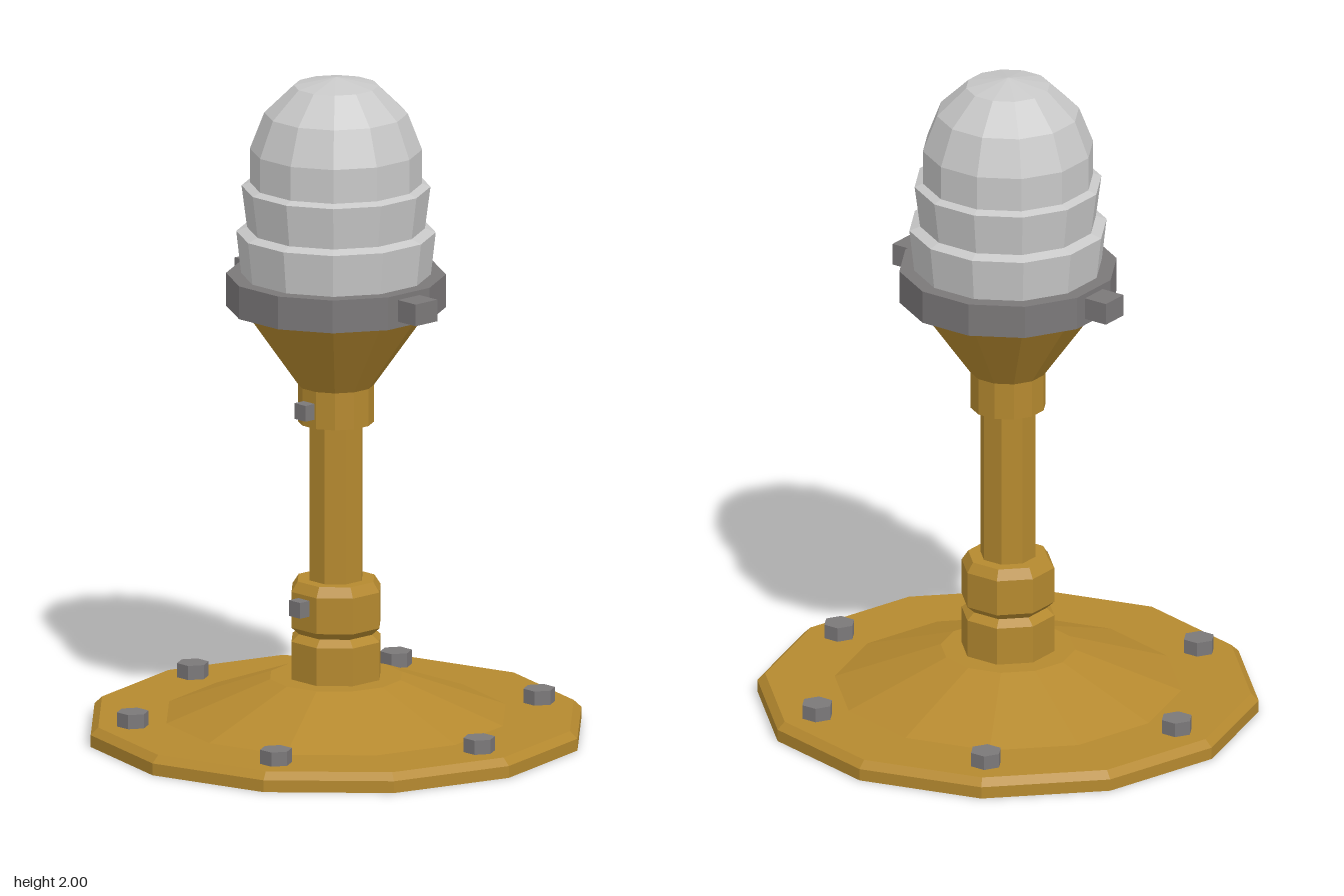
import * as THREE from 'three';

const flat = (name, color) => {
  const m = new THREE.MeshStandardMaterial({ color, flatShading: true });
  m.name = name;
  return m;
};

export function createModel() {
  const brass = flat('ochre paint', 0xb5892f);
  const steel = flat('dark steel', 0x7b7879);
  const glass = flat('frosted glass', 0xc8c8c8);
  const model = new THREE.Group();
  model.name = 'lampPost';

  const add = (name, geometry, material, x = 0, y = 0, z = 0) => {
    const mesh = new THREE.Mesh(geometry, material);
    mesh.name = name;
    mesh.position.set(x, y, z);
    model.add(mesh);
    return mesh;
  };

  // Faceted turned part; with flatFront the profile is measured to the face middles
  const turned = (name, profile, sides, material, flatFront = true) => {
    const k = flatFront ? 1 / Math.cos(Math.PI / sides) : 1;
    const points = profile.map(([r, y]) => new THREE.Vector2(r * k, y));
    const geometry = new THREE.LatheGeometry(points, sides, flatFront ? Math.PI / sides : 0);
    return add(name, geometry, material);
  };

  // Wide base plate with a shallow cone
  turned('basePlate', [
    [0, 0], [0.745, 0], [0.745, 0.036], [0.722, 0.058],
    [0.515, 0.058], [0.2, 0.175], [0, 0.175],
  ], 12, brass, false);

  // Octagonal coupling with a groove, and the pole
  turned('coupling', [
    [0, 0.17], [0.13, 0.17], [0.13, 0.29], [0.108, 0.311],
    [0.13, 0.333], [0.13, 0.442], [0.112, 0.472], [0, 0.472],
  ], 8, brass);
  turned('pole', [[0.077, 0.46], [0.077, 0.96]], 8, brass);

  // Collar flaring into the lamp holder
  turned('lampHolder', [
    [0, 0.95], [0.109, 0.95], [0.109, 1.063], [0.275, 1.305], [0, 1.305],
  ], 12, brass);

  // Clamp ring with a lug on each side
  turned('clampRing', [
    [0, 1.3], [0.314, 1.3], [0.314, 1.4], [0, 1.4],
  ], 12, steel);
  for (const side of [-1, 1]) {
    add('clampLug', new THREE.BoxGeometry(0.1, 0.066, 0.088), steel, side * 0.34, 1.352, 0);
  }

  // Stepped lens with a domed top
  turned('lens', [
    [0, 1.39], [0.27, 1.39], [0.285, 1.528], [0.254, 1.54], [0.27, 1.667],
    [0.246, 1.677], [0.246, 1.78], [0.205, 1.89], [0.121, 1.974], [0, 2],
  ], 12, glass);

  // Six hexagonal bolts around the base
  for (let i = 0; i < 6; i++) {
    const a = (i * Math.PI) / 3;
    const bolt = add('baseBolt', new THREE.CylinderGeometry(0.048, 0.048, 0.05, 6), steel,
      0.617 * Math.cos(a), 0.076, 0.617 * Math.sin(a));
    bolt.rotation.y = Math.PI / 2;
  }

  // Square set screws on the front
  for (const [y, z] of [[0.405, 0.168], [1.002, 0.146]]) {
    add('setScrew', new THREE.BoxGeometry(0.048, 0.048, 0.06), steel, 0, y, z - 0.03);
  }
  return model;
}
